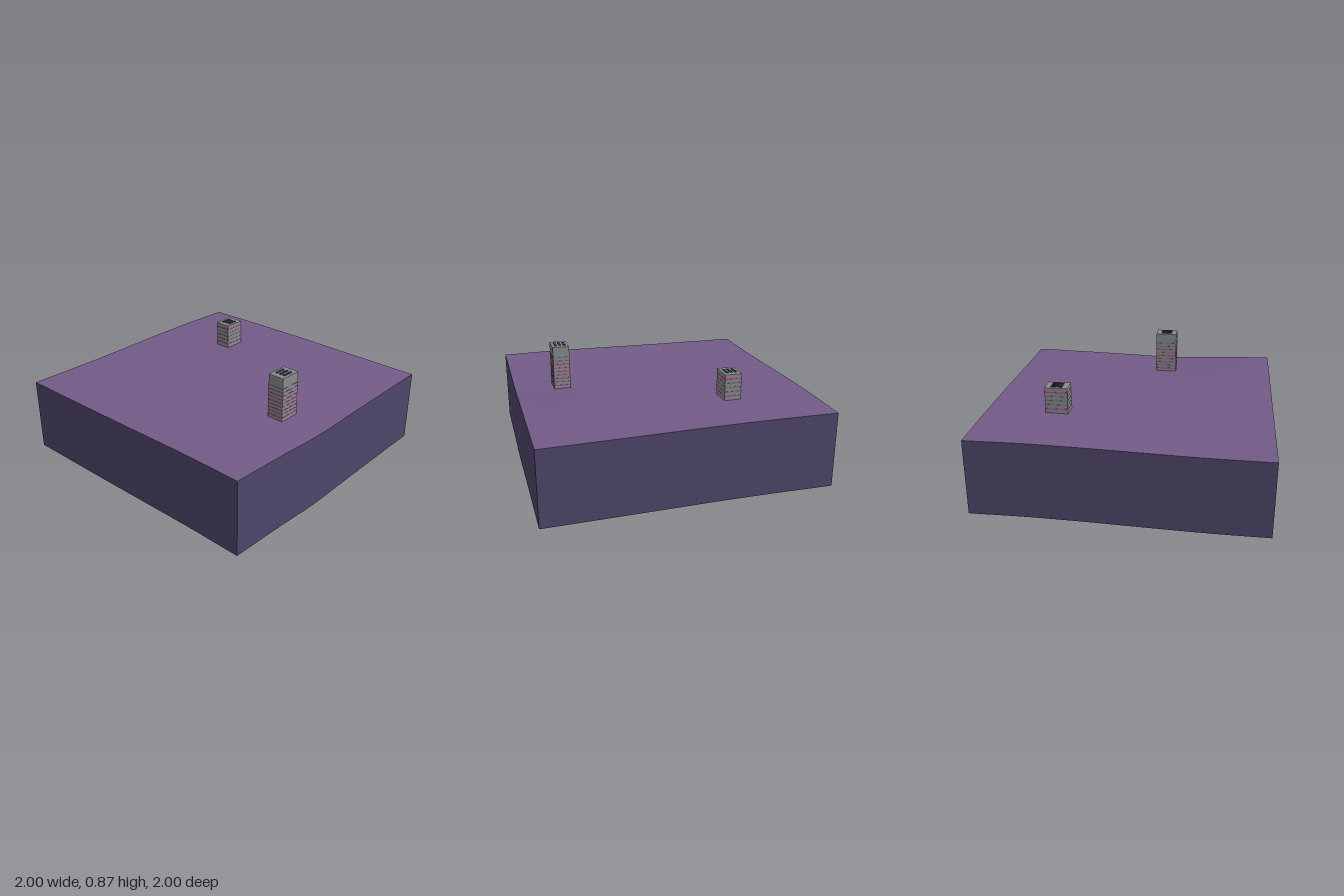
import * as THREE from 'three';

const WALL = 0.535; // height of the skirt walls

const mat = (name, color, side = THREE.FrontSide) => {
  const m = new THREE.MeshStandardMaterial({ color, side });
  m.name = name;
  return m;
};

// Edge heights at six equal steps from -1 to 1
const edge = (heights) => {
  const curve = new THREE.SplineCurve(heights.map((h, i) => new THREE.Vector2(i, h)));
  return (t) => curve.getPoint(t).y;
};
const back = edge([0.58, 0.582, 0.58, 0.573, 0.566, 0.56]);
const front = edge([0.555, 0.557, 0.56, 0.565, 0.569, 0.565]);
const left = edge([0.58, 0.583, 0.577, 0.566, 0.557, 0.555]); // x = -1
const right = edge([0.56, 0.554, 0.545, 0.535, 0.553, 0.565]); // x = +1

// Ground height: a patch blended from the four edge curves
function ground(x, z) {
  const u = THREE.MathUtils.clamp((x + 1) / 2, 0, 1);
  const v = THREE.MathUtils.clamp((z + 1) / 2, 0, 1);
  const { lerp } = THREE.MathUtils;
  const corners = lerp(lerp(back(0), back(1), u), lerp(front(0), front(1), u), v);
  return lerp(back(u), front(u), v) + lerp(left(v), right(v), u) - corners;
}

export function createModel() {
  const model = new THREE.Group();
  const soil = mat('ground purple', 0x735b88, THREE.DoubleSide);
  const wall = mat('wall indigo', 0x4f476b, THREE.DoubleSide);
  const concrete = mat('tower grey', 0x8a8c8c);
  const seam = mat('seam grey', 0x6f7072);
  const neon = mat('neon magenta', 0xd030b0);
  const slot = mat('vent dark', 0x3f3d55);

  const add = (parent, name, geometry, material, x = 0, y = 0, z = 0) => {
    const mesh = new THREE.Mesh(geometry, material);
    mesh.name = name;
    mesh.position.set(x, y, z);
    parent.add(mesh);
  };

  // Rolling ground surface
  const top = new THREE.PlaneGeometry(2, 2, 30, 30).rotateX(-Math.PI / 2);
  const p = top.attributes.position;
  for (let i = 0; i < p.count; i++) p.setY(i, ground(p.getX(i), p.getZ(i)));
  top.computeVertexNormals();
  add(model, 'ground', top, soil);

  // Skirt walls, open below, following the ground edge
  ['frontWall', 'leftWall', 'backWall', 'rightWall'].forEach((name, k) => {
    const g = new THREE.PlaneGeometry(2, WALL, 30, 1).translate(0, 0, 1).rotateY(k * Math.PI / 2);
    const q = g.attributes.position;
    for (let i = 0; i < q.count; i++) {
      const h = ground(q.getX(i), q.getZ(i));
      q.setY(i, q.getY(i) > 0 ? h : h - WALL);
    }
    add(model, name, g, wall);
  });

  // Towers with wrap-around bands and roof vents
  const W = 0.12, D = 0.16;
  function tower(name, x, z, height, neonBands, seams) {
    const g = new THREE.Group();
    g.name = name;
    g.position.set(x, 0, z);
    const base = ground(x, z) - 0.01;
    add(g, 'towerBody', new THREE.BoxGeometry(W, height - base, D), concrete, 0, (height + base) / 2);
    const band = (label, y, t, m) =>
      add(g, label, new THREE.BoxGeometry(W + 0.003, t, D + 0.003), m, 0, y);
    neonBands.forEach((y) => band('neonBand', y, 0.007, neon));
    seams.forEach((y) => band('seamBand', y, 0.005, seam));
    for (const i of [-1, 0, 1]) {
      add(g, 'roofVent', new THREE.BoxGeometry(0.016, 0.006, 0.08), slot, i * 0.031, height + 0.002);
    }
    model.add(g);
  }
  tower('tallTower', 0.66, 0.16, 0.86, [0.57, 0.623, 0.676, 0.73], [0.597, 0.65, 0.703, 0.756, 0.783]);
  tower('shortTower', -0.42, -0.5, 0.766, [0.61, 0.733], [0.642, 0.673, 0.703]);

  return model;
}
